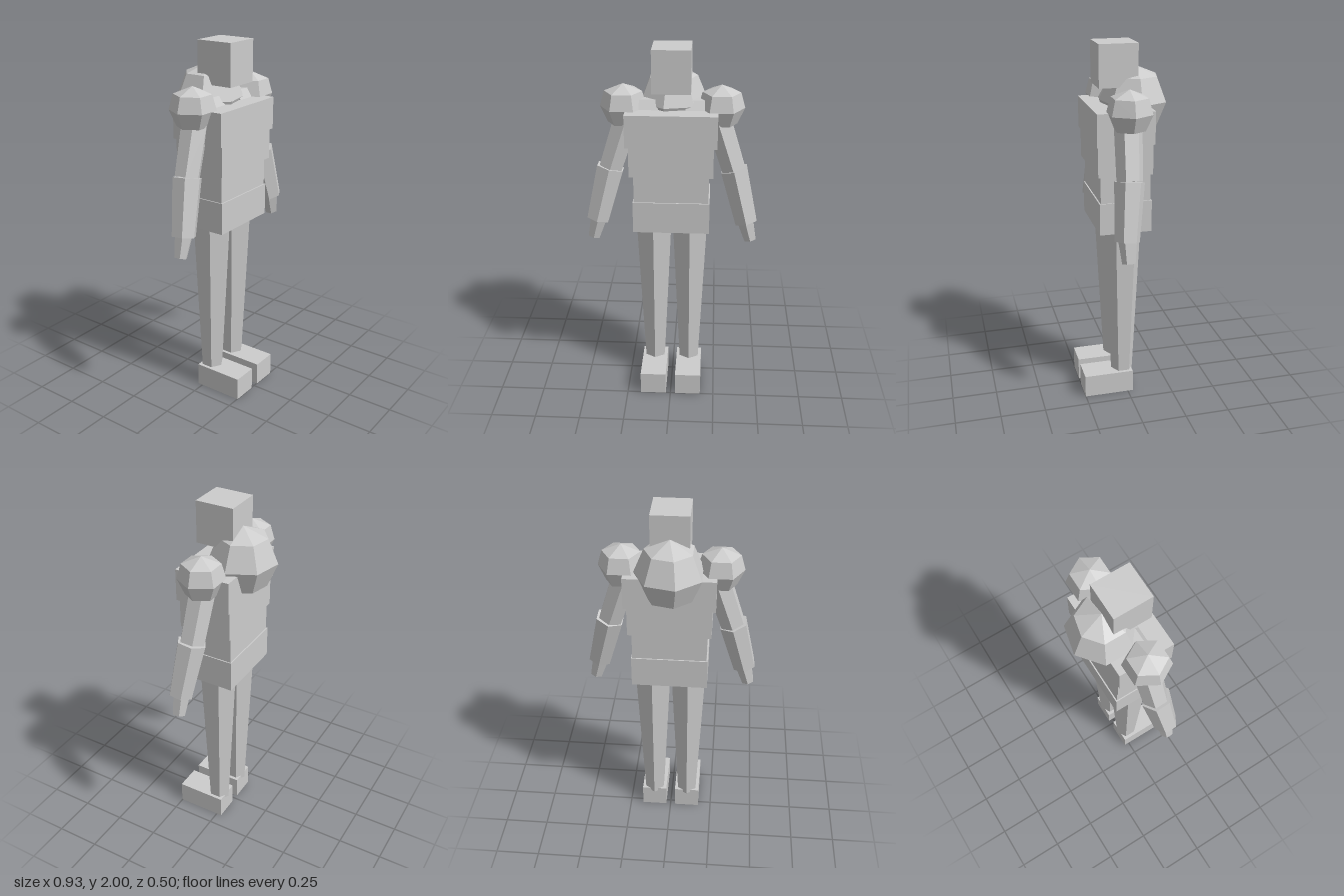
import * as THREE from 'three';

const grey = new THREE.MeshStandardMaterial({ color: 0xcccccc, flatShading: true });
grey.name = 'light grey';

function add(parent, name, geometry) {
  const mesh = new THREE.Mesh(geometry, grey);
  mesh.name = name;
  parent.add(mesh);
  return mesh;
}

// Box given by its extents on each axis
function block(parent, name, [x0, x1], [y0, y1], [z0, z1]) {
  const mesh = add(parent, name, new THREE.BoxGeometry(x1 - x0, y1 - y0, z1 - z0));
  mesh.position.set((x0 + x1) / 2, (y0 + y1) / 2, (z0 + z1) / 2);
  return mesh;
}

// Six-sided tapered limb between two points
function limb(parent, name, from, to, r0, r1) {
  const a = new THREE.Vector3(...from), b = new THREE.Vector3(...to);
  const dir = b.clone().sub(a);
  const mesh = add(parent, name, new THREE.CylinderGeometry(r0, r1, dir.length(), 6));
  mesh.position.copy(a).add(b).multiplyScalar(0.5);
  mesh.quaternion.setFromUnitVectors(new THREE.Vector3(0, 1, 0), dir.negate().normalize());
  return mesh;
}

export function createModel() {
  const model = new THREE.Group();
  model.name = 'blockyFigure';

  // Head and stacked torso
  block(model, 'head', [-0.1, 0.1], [1.775, 2], [-0.07, 0.14]);
  block(model, 'chest', [-0.24, 0.24], [1.5, 1.675], [-0.125, 0.183]);
  block(model, 'ribs', [-0.222, 0.222], [1.335, 1.5], [-0.12, 0.175]);
  block(model, 'waist', [-0.2, 0.2], [1.18, 1.335], [-0.113, 0.158]);
  block(model, 'hips', [-0.206, 0.206], [1.01, 1.185], [-0.12, 0.165]);

  // Rounded hump on the upper back
  const hump = add(model, 'backHump', new THREE.SphereGeometry(0.185, 7, 4));
  hump.position.set(0, 1.69, -0.072);
  hump.rotation.y = Math.PI;

  // Faceted shoulder profile, bottom to top
  const padProfile = [[0, 1.57], [0.085, 1.59], [0.123, 1.675], [0.1, 1.757], [0, 1.797]]
    .map(([r, y]) => new THREE.Vector2(r, y));

  for (const s of [1, -1]) {
    const side = s > 0 ? 'left' : 'right';

    // Collar bone and shoulder
    limb(model, side + 'Collar', [s * 0.07, 1.675, 0.03], [s * 0.22, 1.675, 0.03], 0.055, 0.055);
    const pad = add(model, side + 'Shoulder', new THREE.LatheGeometry(padProfile, 6, Math.PI / 2));
    pad.position.set(s * 0.257, 0, 0.018);

    // Arm
    limb(model, side + 'UpperArm', [s * 0.245, 1.6, 0.022], [s * 0.33, 1.34, 0.035], 0.075, 0.07);
    limb(model, side + 'Forearm', [s * 0.333, 1.34, 0.037], [s * 0.407, 1.045, 0.068], 0.081, 0.067);
    limb(model, side + 'Hand', [s * 0.405, 1.045, 0.065], [s * 0.434, 0.935, 0.066], 0.049, 0.036);

    // Leg in two segments, and foot
    limb(model, side + 'Thigh', [s * 0.1, 1.02, 0.02], [s * 0.1, 0.56, 0.02], 0.108, 0.085);
    limb(model, side + 'Shin', [s * 0.1, 0.56, 0.02], [s * 0.1, 0.11, 0.02], 0.085, 0.062);
    block(model, side + 'Foot', [s * 0.1 - 0.073, s * 0.1 + 0.073], [0, 0.13], [-0.03, 0.252]);
  }
  return model;
}
